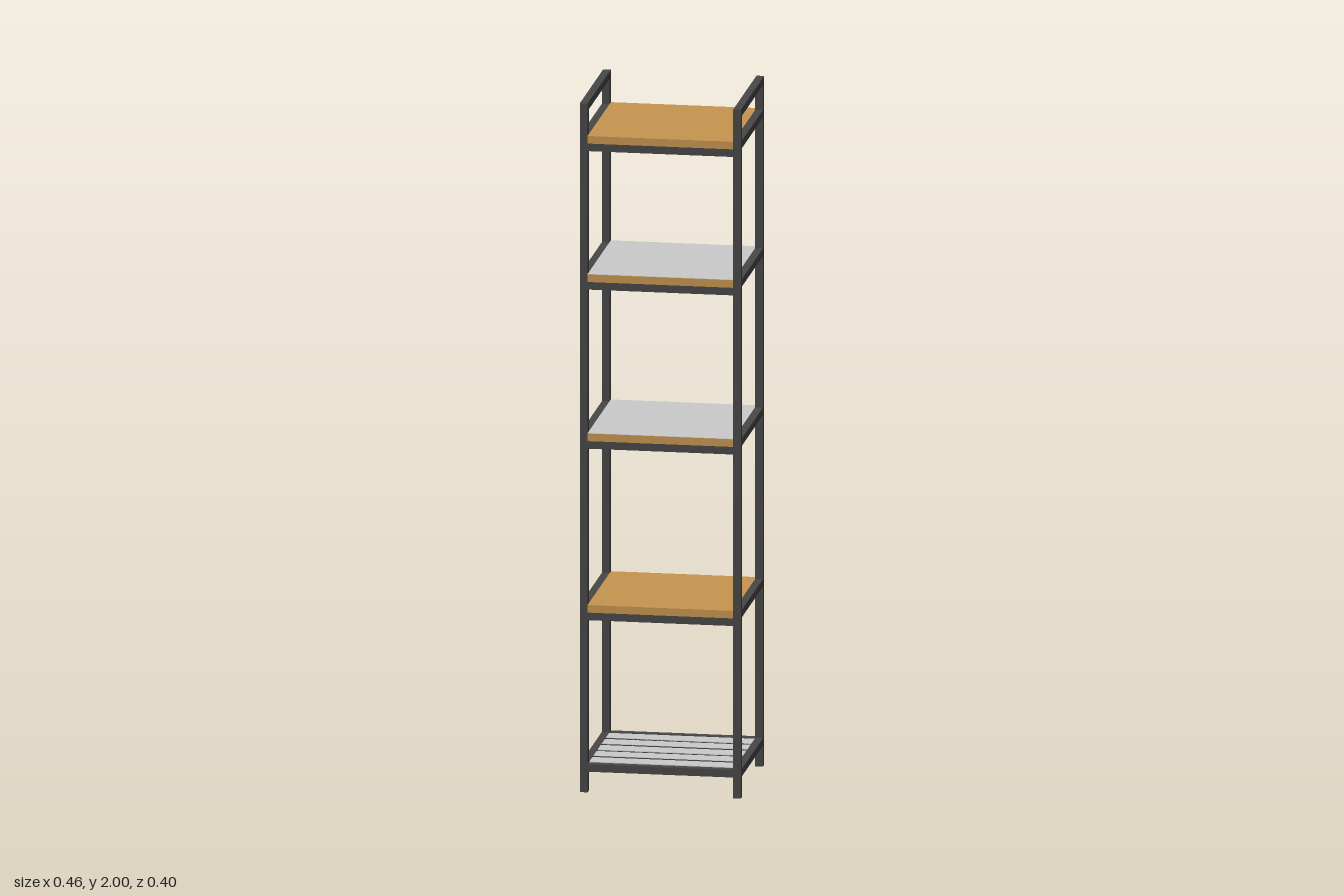
import * as THREE from 'three';

const mat = (color) => new THREE.MeshStandardMaterial({ color });

export function createModel() {
  const model = new THREE.Group();
  const steel = mat(0x484848), wood = mat(0xc89650), grey = mat(0xcccccc);
  const T = 0.022; // tube thickness
  const X = 0.219, Z = 0.189; // post centre lines
  const innerW = 2 * X - T, innerD = 2 * Z - T;

  const box = (parent, name, material, w, h, d, x, y, z) => {
    const mesh = new THREE.Mesh(new THREE.BoxGeometry(w, h, d), material);
    mesh.name = name;
    mesh.position.set(x, y, z);
    parent.add(mesh);
    return mesh;
  };

  // Side frames: two posts joined by a top rail
  for (const s of [-1, 1]) {
    const side = new THREE.Group();
    side.name = s > 0 ? 'leftFrame' : 'rightFrame';
    for (const f of [-1, 1]) box(side, f > 0 ? 'frontPost' : 'backPost', steel, T, 2, T, s * X, 1, f * Z);
    box(side, 'topRail', steel, T, T, innerD, s * X, 2 - T / 2, 0);
    model.add(side);
  }

  // Rails carrying one level: side rails, and cross bars at their own height
  const addRails = (level, top, barTop) => {
    for (const s of [-1, 1]) {
      box(level, 'sideRail', steel, T, T, innerD, s * X, top - T / 2, 0);
      box(level, 'crossBar', steel, innerW, T, T, 0, barTop - T / 2, s * Z);
    }
  };

  // Wooden shelves resting on the cross bars; the middle two have a grey top sheet
  [0.544, 1.042, 1.504, 1.906].forEach((top, i) => {
    const shelf = new THREE.Group();
    shelf.name = `shelf${i + 1}`;
    addRails(shelf, top, top - T);
    box(shelf, 'board', wood, innerW, T, 0.4, 0, top - T / 2, 0);
    if (i === 1 || i === 2) box(shelf, 'topSheet', grey, innerW, 0.002, 0.398, 0, top, 0);
    model.add(shelf);
  });

  // Slatted bottom rack
  const rack = new THREE.Group();
  rack.name = 'bottomRack';
  const rackTop = 0.082, count = 5, pitch = innerD / count;
  addRails(rack, rackTop, rackTop);
  for (let i = 0; i < count; i++) {
    const z = (i - (count - 1) / 2) * pitch;
    box(rack, 'slat', steel, innerW, T * 0.9, pitch - 0.016, 0, rackTop - T / 2, z);
    box(rack, 'slatTop', grey, innerW, 0.002, pitch - 0.016, 0, rackTop - 0.001, z);
  }
  model.add(rack);

  return model;
}
